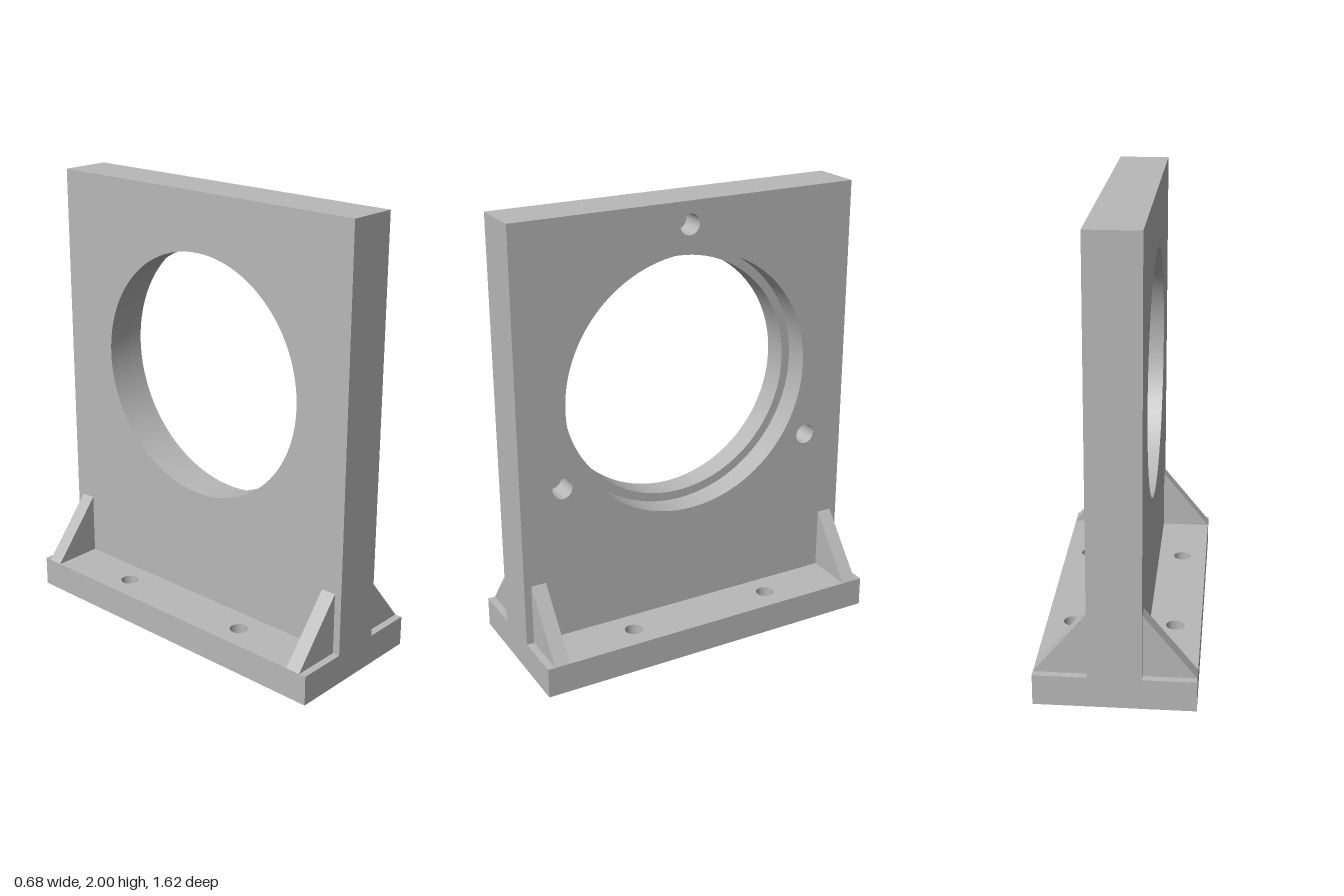
import * as THREE from 'three';
import { toCreasedNormals } from 'three/addons/utils/BufferGeometryUtils.js';

const BASE_H = 0.136, BASE_X = 0.341, HALF_Z = 0.808, HEIGHT = 2;
const PLATE_X = 0.114, BORE_Y = 1.192, BOLT_R = 0.708;

function rectangle(x0, y0, x1, y1) {
  return new THREE.Shape([[x0, y0], [x1, y0], [x1, y1], [x0, y1]].map(p => new THREE.Vector2(...p)));
}

function addHole(shape, x, y, r) {
  shape.holes.push(new THREE.Path().absarc(x, y, r, 0, Math.PI * 2, true));
}

function extrude(shape, depth, curveSegments = 32) {
  const geometry = new THREE.ExtrudeGeometry(shape, { depth, curveSegments, bevelEnabled: false });
  return toCreasedNormals(geometry, 0.6);
}

export function createModel() {
  const group = new THREE.Group();
  const grey = new THREE.MeshStandardMaterial({ color: 0xb8b8b8 });
  grey.name = 'machined grey';

  const add = (name, geometry) => {
    const mesh = new THREE.Mesh(geometry, grey);
    mesh.name = name;
    group.add(mesh);
    return mesh;
  };

  // Base with four through holes
  const baseShape = rectangle(-BASE_X, -HALF_Z, BASE_X, HALF_Z);
  for (const x of [-0.227, 0.227]) {
    for (const z of [-0.343, 0.343]) addHole(baseShape, x, z, 0.04);
  }
  add('base', extrude(baseShape, BASE_H).rotateX(-Math.PI / 2));

  // Recessed half of the upright: wide bore and three blind bolt holes
  const recessShape = rectangle(-HALF_Z, BASE_H, HALF_Z, HEIGHT);
  addHole(recessShape, 0, BORE_Y, 0.588);
  for (let i = 0; i < 3; i++) {
    const a = Math.PI / 2 + i * Math.PI * 2 / 3;
    addHole(recessShape, BOLT_R * Math.cos(a), BORE_Y + BOLT_R * Math.sin(a), 0.046);
  }
  add('uprightRecessSide', extrude(recessShape, PLATE_X, 96).rotateY(Math.PI / 2));

  // Plain half of the upright: narrower bore, leaving a shoulder
  const plainShape = rectangle(-HALF_Z, BASE_H, HALF_Z, HEIGHT);
  addHole(plainShape, 0, BORE_Y, 0.548);
  add('uprightPlainSide', extrude(plainShape, PLATE_X, 96).rotateY(Math.PI / 2).translate(-PLATE_X, 0, 0));

  // Four triangular gussets
  const gussetShape = new THREE.Shape([
    new THREE.Vector2(PLATE_X, BASE_H),
    new THREE.Vector2(BASE_X, BASE_H),
    new THREE.Vector2(PLATE_X, 0.415),
  ]);
  const gusset = extrude(gussetShape, 0.068).translate(0, 0, -0.034);
  for (const side of [0, Math.PI]) {
    for (const z of [-0.741, 0.741]) {
      const mesh = add('gusset', gusset);
      mesh.rotation.y = side;
      mesh.position.z = z;
    }
  }
  return group;
}
